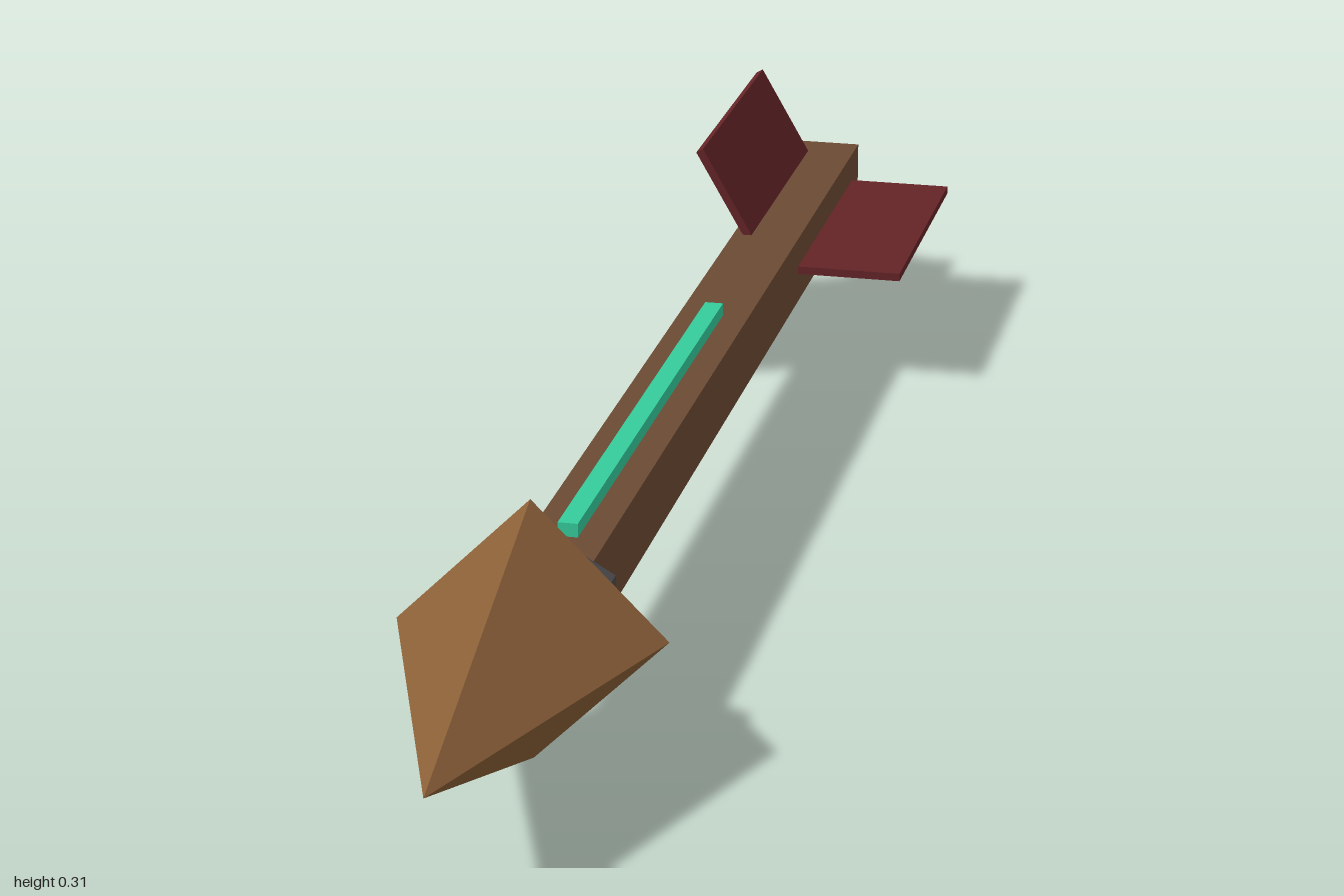
import * as THREE from 'three';

const material = (name, color) => {
  const m = new THREE.MeshStandardMaterial({ color, flatShading: true });
  m.name = name;
  return m;
};

export function createModel() {
  const wood = material('shaft wood', 0x6b4a34);
  const bronze = material('head bronze', 0x8b6038);
  const iron = material('collar iron', 0x4a4a4e);
  const feather = material('feather red', 0x642426);
  const glow = material('inlay green', 0x35cc9c);

  const group = new THREE.Group();
  group.name = 'arrow';

  // Everything is placed around the arrow's long axis
  const axis = new THREE.Group();
  axis.name = 'arrowBody';
  axis.position.set(-0.0155, 0.155, 0);
  group.add(axis);

  const add = (name, geometry, mat) => {
    const mesh = new THREE.Mesh(geometry, mat);
    mesh.name = name;
    axis.add(mesh);
    return mesh;
  };

  // Square shaft
  add('shaft', new THREE.BoxGeometry(0.085, 0.085, 1.59).translate(0, 0, -0.205), wood);

  // Four-sided pointed head
  add('head', new THREE.ConeGeometry(0.144, 0.4, 4).rotateX(Math.PI / 2).translate(0, 0, 0.8), bronze);

  // Hexagonal collar behind the head
  add('collar', new THREE.CylinderGeometry(0.085, 0.085, 0.06, 6).rotateX(Math.PI / 2).translate(0, 0, 0.57), iron);

  // Inlaid strips above and below the shaft
  for (const side of [1, -1]) {
    add(side > 0 ? 'topStrip' : 'bottomStrip',
      new THREE.BoxGeometry(0.022, 0.022, 0.72).translate(0, side * 0.047, 0.09), glow);
  }

  // Three feather vanes spaced evenly around the tail
  for (let i = 0; i < 3; i++) {
    const vane = add('vane' + (i + 1),
      new THREE.BoxGeometry(0.154, 0.01, 0.376).translate(0.097, 0, -0.768), feather);
    vane.rotation.z = (i * Math.PI * 2) / 3;
  }

  return group;
}
